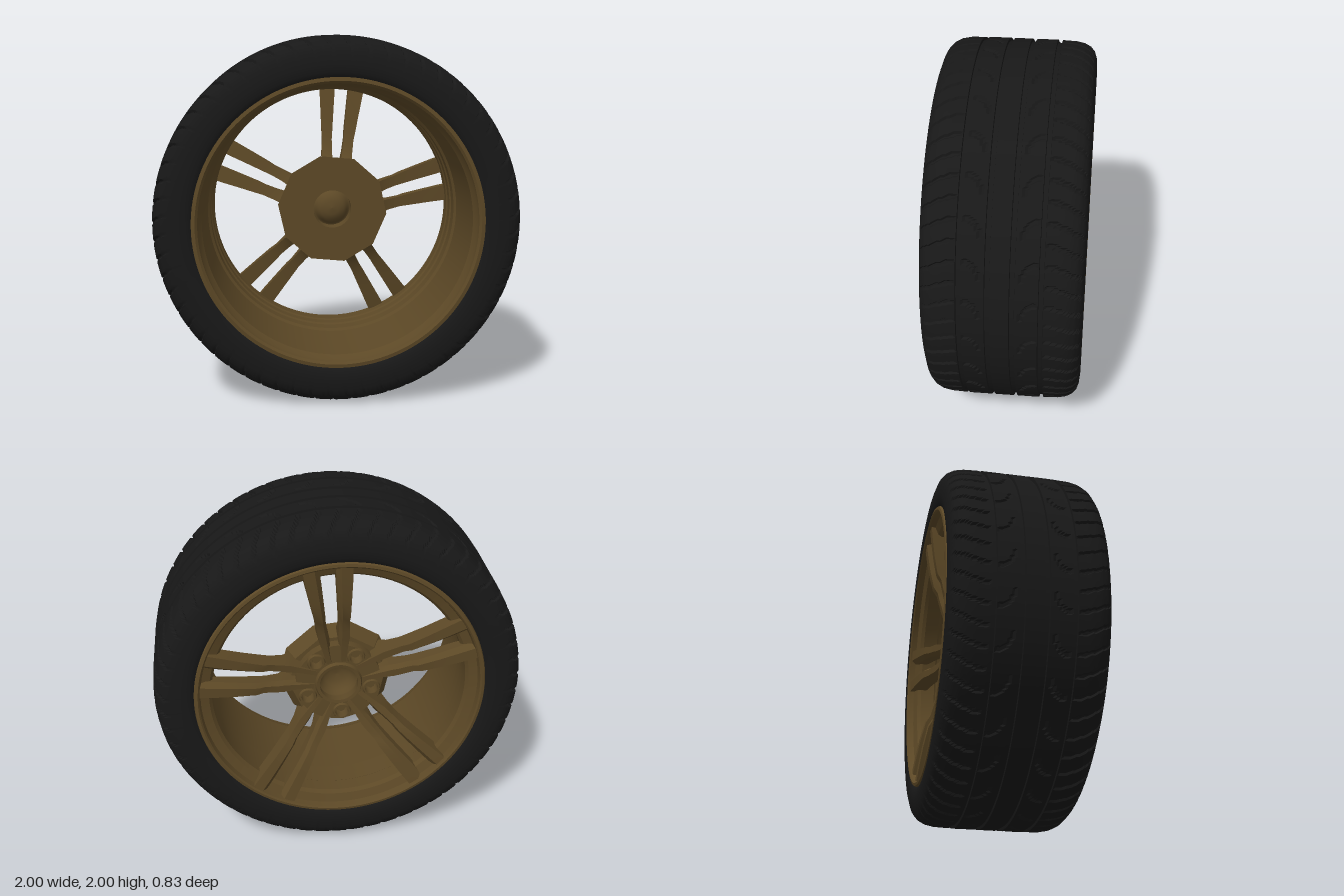
import * as THREE from 'three';
import { toCreasedNormals } from 'three/addons/utils/BufferGeometryUtils.js';

const TAU = Math.PI * 2;
const PAIR = THREE.MathUtils.degToRad(12.6); // angle of the first spoke pair
const STEP = TAU / 5;
const bronze = new THREE.MeshStandardMaterial({ color: 0x5c4826 });
const bronzeThin = new THREE.MeshStandardMaterial({ color: 0x5c4826, side: THREE.DoubleSide });
const rubber = new THREE.MeshStandardMaterial({ color: 0x181818 });

function add(parent, name, geometry, material = bronze) {
  const mesh = new THREE.Mesh(geometry, material);
  mesh.name = name;
  parent.add(mesh);
  return mesh;
}

// Lathe around z from [radius, z] pairs; rising z faces outward
function latheZ(points, segments) {
  return new THREE.LatheGeometry(points.map(p => new THREE.Vector2(...p)), segments).rotateX(Math.PI / 2);
}

// Depth of the crosswise tread cuts at an angle around and distance from the centre line
function treadCut(angle, a) {
  const frac = v => v - Math.floor(v);
  const turn = angle / TAU;
  if (a > 0.218 && a < 0.396) {
    const curve = 14 * (a - 0.218) ** 2 + 1.5 * (a - 0.218);
    return frac(turn * 60 + curve) < 0.17 ? 0.012 : 0;
  }
  if (a > 0.09 && a < 0.186) {
    const t = (a - 0.09) / 0.096;
    const inBand = frac(turn * 30 + 0.6 * (1 - t) ** 3) < 0.09 + 0.16 * (1 - t) ** 2;
    return inBand ? 0.01 : 0;
  }
  return 0;
}

function tyreGeometry() {
  // Half profile: centre rib, two ring grooves, shoulder, sidewall, bead
  const half = [[1, 0], [1, 0.047], [0.984, 0.049], [0.984, 0.072], [1, 0.074], [1, 0.188],
    [0.984, 0.19], [0.984, 0.212], [0.999, 0.214], [0.996, 0.29], [0.987, 0.335], [0.97, 0.368],
    [0.945, 0.39], [0.91, 0.402], [0.85, 0.408], [0.81, 0.405], [0.79, 0.397], [0.775, 0.385]];
  const fine = [half[0]];
  for (let i = 1; i < half.length; i++) {
    const [r0, z0] = half[i - 1], [r1, z1] = half[i];
    const n = r1 > 0.93 ? Math.ceil(Math.hypot(r1 - r0, z1 - z0) / 0.016) : 1;
    for (let k = 1; k <= n; k++) fine.push([r0 + (r1 - r0) * k / n, z0 + (z1 - z0) * k / n]);
  }
  const profile = [...fine.slice(1).reverse().map(([r, z]) => [r, -z]), ...fine];
  const geometry = latheZ(profile, 720);
  const pos = geometry.attributes.position;
  for (let i = 0; i < pos.count; i++) {
    const x = pos.getX(i), y = pos.getY(i), r = Math.hypot(x, y);
    if (r < 0.93) continue;
    const k = 1 - treadCut(Math.atan2(y, x), Math.abs(pos.getZ(i))) / r;
    pos.setXY(i, x * k, y * k);
  }
  return toCreasedNormals(geometry, 0.6);
}

// Closed loft through rings of equal length
function loft(rings) {
  const n = rings[0].length, index = [];
  for (let i = 0; i < rings.length - 1; i++) {
    for (let j = 0; j < n; j++) {
      const a = i * n + j, b = i * n + (j + 1) % n;
      index.push(a, b, a + n, b, b + n, a + n);
    }
  }
  const last = (rings.length - 1) * n;
  for (let j = 1; j < n - 1; j++) index.push(0, j + 1, j, last, last + j, last + j + 1);
  const geometry = new THREE.BufferGeometry();
  geometry.setAttribute('position', new THREE.Float32BufferAttribute(rings.flat(2), 3));
  geometry.setIndex(index);
  return toCreasedNormals(geometry, 0.45);
}

// One spoke running along +x; side is +1 or -1 within its pair
function spokeGeometry(side) {
  // radius, sideways offset, half width, front z, back z
  const stations = [
    [0.13, 0.036, 0.020, -0.20, -0.272],
    [0.22, 0.048, 0.024, -0.18, -0.285],
    [0.29, 0.056, 0.032, -0.165, -0.300],
    [0.33, 0.060, 0.030, -0.205, -0.310],
    [0.40, 0.064, 0.029, -0.235, -0.325],
    [0.44, 0.067, 0.032, -0.248, -0.348],
    [0.55, 0.075, 0.038, -0.275, -0.368],
    [0.66, 0.083, 0.044, -0.295, -0.382],
    [0.757, 0.090, 0.047, -0.320, -0.392]];
  return loft(stations.map(([r, off, w, front, back]) => {
    const ring = [[off + w, front], [off - w, front], [off - w, back + 0.03],
      [off - w * 0.45, back], [off + w * 0.85, back]].map(([v, z]) => [r, v * side, z]);
    return side > 0 ? ring : ring.reverse();
  }));
}

function circleHole(x, y, r) {
  return new THREE.Path().absarc(x, y, r, 0, TAU, true);
}

// Centre pad, bolt plate, cap and bolts
function createHub() {
  const hub = new THREE.Group();
  hub.name = 'hub';

  const corners = Array.from({ length: 10 }, (_, i) => {
    const a = PAIR + Math.PI / 10 + i * TAU / 10;
    return new THREE.Vector2(Math.cos(a) * 0.318, Math.sin(a) * 0.318);
  });
  const padShape = new THREE.Shape(corners);
  padShape.holes.push(circleHole(0, 0, 0.11));
  const pad = new THREE.ExtrudeGeometry(padShape, { depth: 0.075, bevelEnabled: false, curveSegments: 24 });
  pad.translate(0, 0, -0.215);
  const pos = pad.attributes.position;
  for (let i = 0; i < pos.count; i++) { // taper toward the back
    const x = pos.getX(i), y = pos.getY(i);
    if (pos.getZ(i) < -0.2 && Math.hypot(x, y) > 0.2) pos.setXY(i, x * 0.84, y * 0.84);
  }
  pad.computeVertexNormals();
  add(hub, 'mountingPad', toCreasedNormals(pad, 0.5));

  const plateShape = new THREE.Shape().absarc(0, 0, 0.235, 0, TAU, false);
  plateShape.holes.push(circleHole(0, 0, 0.11));
  const bolts = Array.from({ length: 5 }, (_, i) => {
    const a = PAIR + STEP * (i + 0.5);
    return [Math.cos(a) * 0.185, Math.sin(a) * 0.185];
  });
  for (const [x, y] of bolts) plateShape.holes.push(circleHole(x, y, 0.036));
  const plate = new THREE.ExtrudeGeometry(plateShape, { depth: 0.06, bevelEnabled: false, curveSegments: 24 });
  add(hub, 'boltPlate', toCreasedNormals(plate.translate(0, 0, -0.27), 0.5));

  for (const [x, y] of bolts) {
    const collar = latheZ([[0.036, -0.25], [0.036, -0.283], [0.045, -0.283], [0.052, -0.265]].reverse(), 24);
    add(hub, 'boltCollar', toCreasedNormals(collar, 0.5), bronzeThin).position.set(x, y, 0);
    const bolt = new THREE.CylinderGeometry(0.022, 0.022, 0.035, 6).rotateX(Math.PI / 2);
    add(hub, 'bolt', toCreasedNormals(bolt, 0.5)).position.set(x, y, -0.23);
  }

  const ring = latheZ([[0.105, -0.24], [0.105, -0.285], [0.122, -0.288], [0.132, -0.265]].reverse(), 40);
  add(hub, 'capRing', toCreasedNormals(ring, 0.5), bronzeThin);
  const dome = [[0.112, -0.24], [0.1, -0.235], [0.09, -0.212], [0.07, -0.193], [0.04, -0.181], [0, -0.177]];
  add(hub, 'centreCap', latheZ(dome, 40), bronzeThin);
  return hub;
}

export function createModel() {
  const wheel = new THREE.Group();
  wheel.name = 'wheel';

  add(wheel, 'tyre', tyreGeometry(), rubber);

  // Open barrel with a lip at each end
  const rim = [[0.778, 0.3], [0.785, 0.398], [0.765, 0.402], [0.752, 0.39], [0.748, 0.36], [0.73, 0.33],
    [0.718, -0.08], [0.705, -0.095], [0.705, -0.17], [0.697, -0.18], [0.697, -0.24], [0.69, -0.25],
    [0.69, -0.33], [0.705, -0.35], [0.75, -0.368], [0.757, -0.4], [0.765, -0.408], [0.78, -0.405],
    [0.787, -0.39], [0.778, -0.3], [0.778, 0.3]];
  add(wheel, 'rim', toCreasedNormals(latheZ(rim, 128), 0.5));

  // Five pairs of spokes
  for (const side of [1, -1]) {
    const geometry = spokeGeometry(side);
    for (let i = 0; i < 5; i++) add(wheel, 'spoke', geometry).rotation.z = PAIR + i * STEP;
  }

  wheel.add(createHub());

  wheel.position.y = 1;
  wheel.rotation.y = -0.006;
  const model = new THREE.Group();
  model.name = 'carWheel';
  model.add(wheel);
  return model;
}
